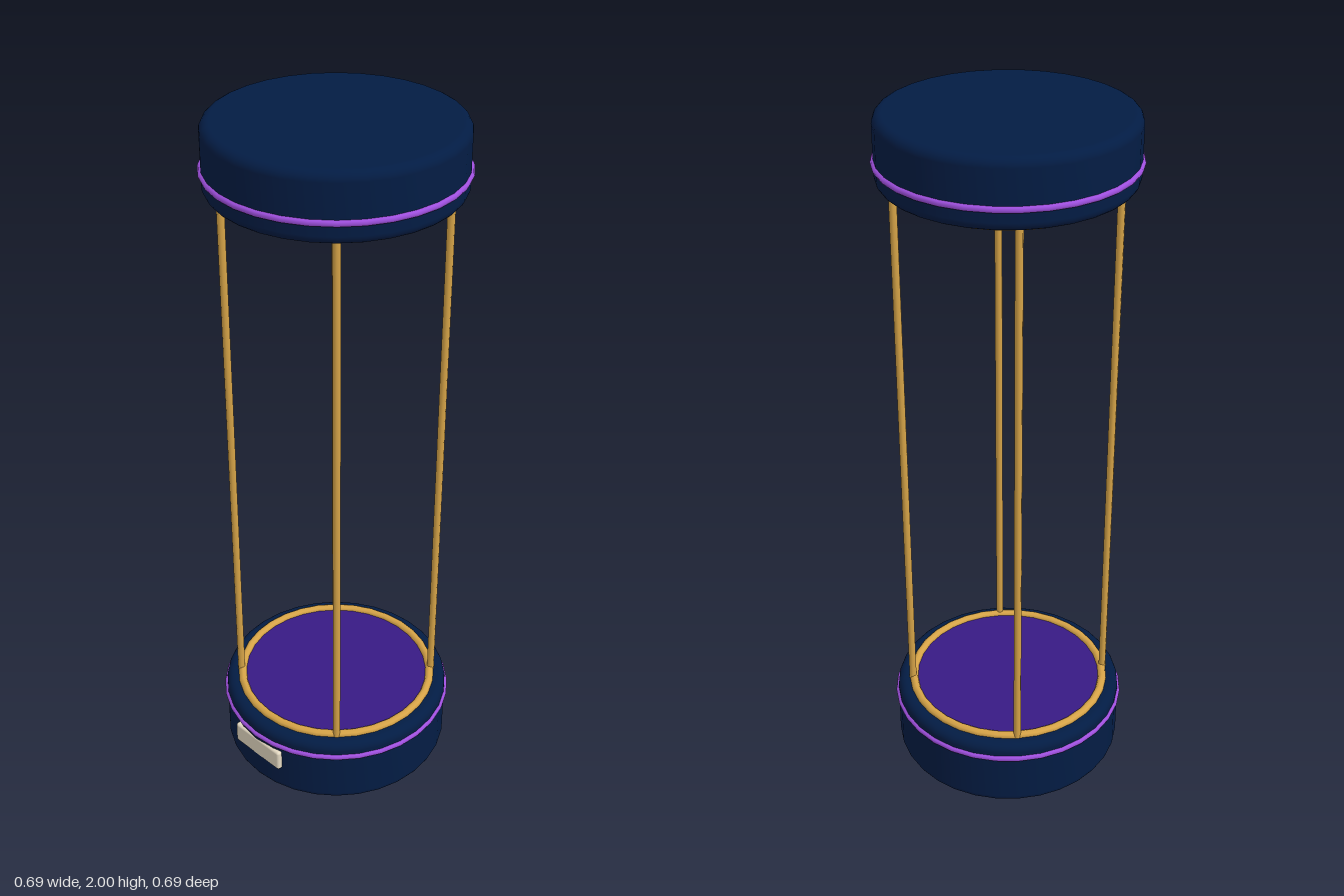
import * as THREE from 'three';
import { RoundedBoxGeometry } from 'three/addons/geometries/RoundedBoxGeometry.js';

const mat = (name, color) => {
  const m = new THREE.MeshStandardMaterial({ color });
  m.name = name;
  return m;
};

export function createModel() {
  const navy = mat('navy', 0x031c44);
  const violet = mat('violet', 0xa050e0);
  const gold = mat('gold', 0xd8a548);
  const indigo = mat('indigo', 0x381a85);
  const pink = mat('pink', 0xd460bc);
  const cream = mat('cream', 0xe5dac3);

  const model = new THREE.Group();
  model.name = 'displayCapsule';
  const add = (name, geometry, material, x = 0, y = 0, z = 0) => {
    const mesh = new THREE.Mesh(geometry, material);
    mesh.name = name;
    mesh.position.set(x, y, z);
    model.add(mesh);
    return mesh;
  };

  // Solid drum with rounded rims
  const drum = (y0, y1, radius = 0.336, round = 0.025) => {
    const points = [new THREE.Vector2(0, y0)];
    for (const [cy, start] of [[y0 + round, -Math.PI / 2], [y1 - round, 0]]) {
      for (let i = 0; i <= 5; i++) {
        const a = start + (i / 5) * Math.PI / 2;
        points.push(new THREE.Vector2(radius - round + round * Math.cos(a), cy + round * Math.sin(a)));
      }
    }
    points.push(new THREE.Vector2(0, y1));
    return new THREE.LatheGeometry(points, 32);
  };
  const ring = (radius, tube) => new THREE.TorusGeometry(radius, tube, 8, 32).rotateX(Math.PI / 2);

  // Base and cap
  add('base', drum(0, 0.22), navy);
  add('cap', drum(1.817, 2), navy);

  // Trim bands and gold collars
  add('baseBand', ring(0.335, 0.009), violet, 0, 0.175);
  add('capBand', ring(0.335, 0.009), violet, 0, 1.876);
  add('baseCollar', ring(0.288, 0.0125), gold, 0, 0.221);
  add('capCollar', ring(0.288, 0.0125), gold, 0, 1.817);

  // Inset discs facing the open middle
  const disc = new THREE.CylinderGeometry(0.285, 0.285, 0.008, 32);
  add('baseDisc', disc, indigo, 0, 0.218);
  add('capDisc', disc, pink, 0, 1.819);

  // Four upright rods
  const rod = new THREE.CylinderGeometry(0.0105, 0.0105, 1.6, 8);
  for (const x of [-1, 1]) {
    for (const z of [-1, 1]) add('rod', rod, gold, x * 0.206, 1.02, z * 0.206);
  }

  // Front plate with softened edges
  add('frontPlate', new RoundedBoxGeometry(0.186, 0.068, 0.02, 3, 0.008), cream, 0, 0.122, 0.3274);

  return model;
}
